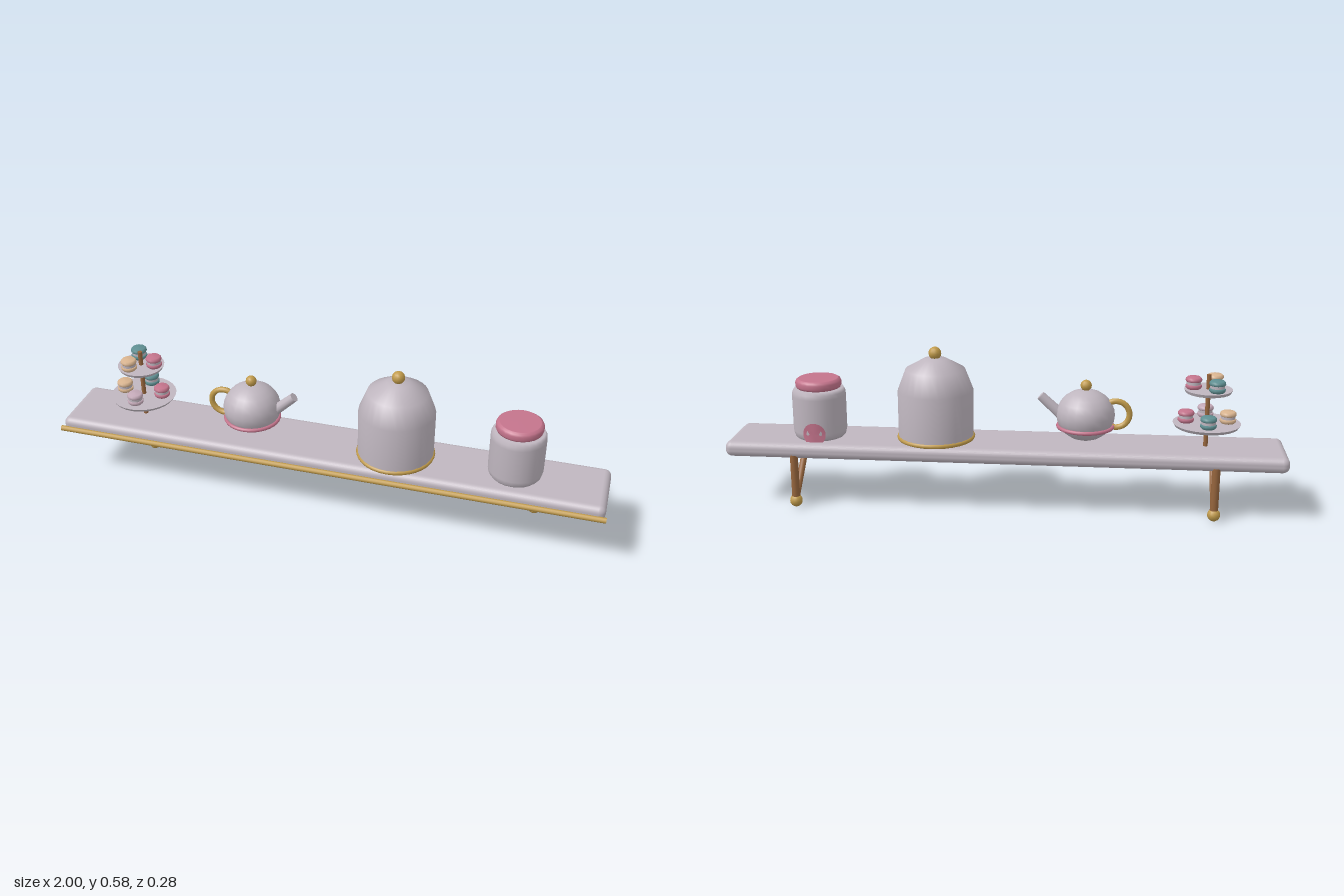
import * as THREE from 'three';
import { RoundedBoxGeometry } from 'three/addons/geometries/RoundedBoxGeometry.js';

const mat = (name, color) => {
  const m = new THREE.MeshStandardMaterial({ color });
  m.name = name;
  return m;
};

export function createModel() {
  const china = mat('pale china', 0xbfb6bf);
  const pink = mat('rose pink', 0xc4748c);
  const gold = mat('gold', 0xc09a4a);
  const wood = mat('brown wood', 0x96653d);
  const teal = mat('teal', 0x5f8f92);
  const tan = mat('tan', 0xd9b48f);
  const lilac = mat('lilac', 0xc4a9b8);

  const root = new THREE.Group();
  root.name = 'tea shelf';

  const group = (name, x = 0, y = 0, z = 0) => {
    const g = new THREE.Group();
    g.name = name;
    g.position.set(x, y, z);
    root.add(g);
    return g;
  };
  const add = (parent, name, geo, material, x = 0, y = 0, z = 0) => {
    const m = new THREE.Mesh(geo, material);
    m.name = name;
    m.position.set(x, y, z);
    parent.add(m);
    return m;
  };
  const ball = (r) => new THREE.SphereGeometry(r, 12, 8);
  const lathe = (pts, n = 24) =>
    new THREE.LatheGeometry(pts.map(([r, y]) => new THREE.Vector2(r, y)), n);
  const ring = (R, r) => new THREE.TorusGeometry(R, r, 8, 32).rotateX(Math.PI / 2);
  // Straight rod between two points
  const rod = (parent, name, a, b, r0, r1, material) => {
    const A = new THREE.Vector3(...a), B = new THREE.Vector3(...b);
    const d = B.clone().sub(A);
    const m = add(parent, name, new THREE.CylinderGeometry(r1, r0, d.length(), 12), material);
    m.position.copy(A).add(B).multiplyScalar(0.5);
    m.quaternion.setFromUnitVectors(new THREE.Vector3(0, 1, 0), d.normalize());
    return m;
  };

  // Board with gold rail along the front
  add(root, 'shelfBoard', new RoundedBoxGeometry(1.99, 0.056, 0.254, 3, 0.024), china, 0, 0.211, 0);
  rod(root, 'frontRail', [-1, 0.2, 0.131], [1, 0.2, 0.131], 0.01, 0.01, gold);

  // Triangular brackets
  for (const s of [-1, 1]) {
    const g = group(s < 0 ? 'rightBracket' : 'leftBracket', s * 0.745);
    rod(g, 'bracketPost', [0, 0.024, -0.113], [0, 0.196, -0.113], 0.0145, 0.0145, wood);
    rod(g, 'bracketBrace', [0, 0.03, -0.113], [0, 0.195, 0.072], 0.012, 0.012, wood);
    add(g, 'bracketBall', ball(0.023), gold, 0, 0.023, -0.113);
  }

  // Storage jar with pink lid and a round label at the back
  const jar = group('jar', 0.672, 0.237);
  add(jar, 'jarBody', lathe([[0, 0], [0.084, 0], [0.092, 0.01], [0.096, 0.028],
    [0.096, 0.155], [0.094, 0.17], [0.087, 0.182], [0, 0.184]]), china);
  add(jar, 'jarLid', lathe([[0, 0.179], [0.072, 0.179], [0.079, 0.184], [0.082, 0.191],
    [0.082, 0.204], [0.079, 0.211], [0.072, 0.216], [0.07, 0.2165], [0, 0.217]]), pink);
  const label = new THREE.CircleGeometry(0.042, 24);
  const p = label.attributes.position;
  for (let i = 0; i < p.count; i++) {
    const a = p.getX(i) / 0.0975;
    p.setXYZ(i, 0.0975 * Math.sin(a), p.getY(i), 0.0975 * Math.cos(a));
  }
  label.computeVertexNormals();
  add(jar, 'jarLabel', label, pink, 0, 0.03, 0).rotation.y = Math.PI;

  // Domed cake cover
  const cover = group('cakeCover', 0.247, 0.24);
  add(cover, 'coverDome', lathe([[0, 0.01], [0.135, 0.01], [0.135, 0.012], [0.135, 0.18],
    [0.106, 0.256], [0.041, 0.293], [0, 0.298]], 28), china);
  add(cover, 'coverRing', ring(0.132, 0.0085), gold, 0, 0.008, 0);
  add(cover, 'coverKnob', ball(0.023), gold, 0, 0.313, 0);

  // Teapot
  const pot = group('teapot', -0.288, 0.342);
  add(pot, 'potBody', new THREE.SphereGeometry(0.104, 20, 12).scale(1, 0.89, 1), china);
  add(pot, 'potBand', ring(0.097, 0.007), pink, 0, -0.041, 0);
  add(pot, 'potKnob', ball(0.02), gold, 0, 0.107, 0);
  add(pot, 'potHandle', new THREE.TorusGeometry(0.048, 0.0105, 8, 24), gold, -0.107, 0.004, 0);
  rod(pot, 'potSpout', [0.05, -0.035, 0], [0.16, 0.066, 0], 0.021, 0.017, china);

  // Two-tier stand
  const stand = group('cakeStand', -0.713);
  rod(stand, 'standPole', [0, 0.236, 0], [0, 0.5, 0], 0.008, 0.008, wood);
  const plate = (name, r, y) =>
    add(stand, name, new THREE.CylinderGeometry(r, r * 0.94, 0.011, 28), china, 0, y, 0);
  plate('lowerPlate', 0.119, 0.319);
  plate('upperPlate', 0.084, 0.442);

  // Filled biscuits set in circles around the pole
  const shell = lathe([[0, 0], [0.026, 0], [0.029, 0.004], [0.028, 0.011], [0.023, 0.016], [0, 0.018]], 16);
  const filling = new THREE.CylinderGeometry(0.025, 0.025, 0.012, 16);
  const tier = (colours, r, y) => colours.forEach((c, i) => {
    const a = (i / colours.length) * Math.PI * 2;
    const g = new THREE.Group();
    g.name = 'biscuit';
    g.position.set(r * Math.cos(a), y, -r * Math.sin(a));
    stand.add(g);
    add(g, 'bottomShell', shell, c, 0, 0.018, 0).rotation.x = Math.PI;
    add(g, 'filling', filling, china, 0, 0.023, 0);
    add(g, 'topShell', shell, c, 0, 0.028, 0);
  });
  tier([pink, teal, tan, lilac], 0.073, 0.324);
  tier([pink, teal, tan], 0.052, 0.446);

  return root;
}
